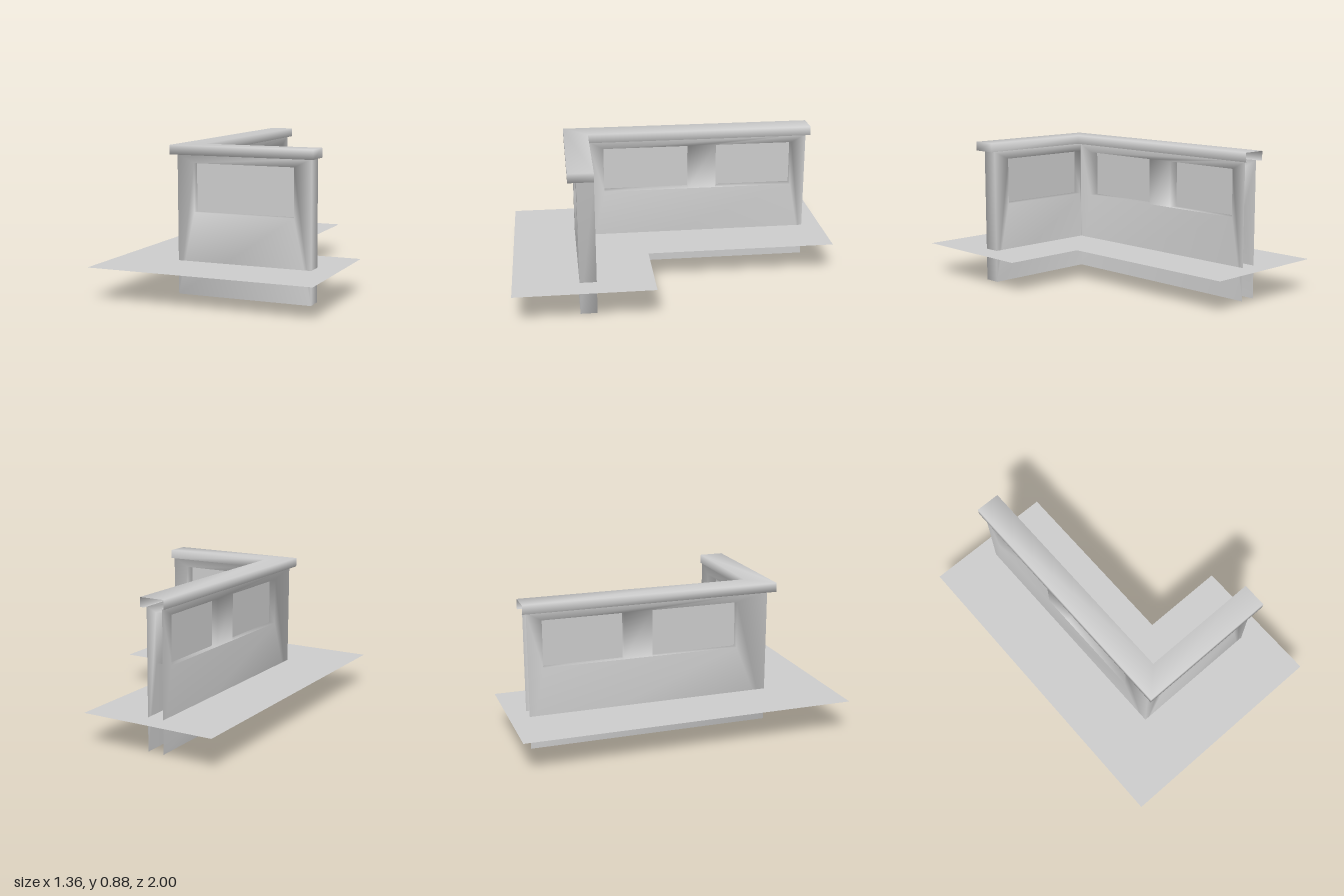
import * as THREE from 'three';
import { mergeGeometries, mergeVertices } from 'three/addons/utils/BufferGeometryUtils.js';

const FLOOR_Y = 0.2, WALL_TOP = 0.825, CAP_TOP = 0.88, THICK = 0.1;
const SILL = 0.49, HEAD = 0.775;

// four-cornered face, corners counterclockwise from its front
function quad(a, b, c, d) {
  const g = new THREE.BufferGeometry();
  g.setAttribute('position', new THREE.Float32BufferAttribute([a, b, c, a, c, d].flat(), 3));
  return g;
}

// upright rectangle with rectangular holes, facing +z
function sheet(u0, u1, holes) {
  const rect = (Type, a, b, lo, hi) => {
    const p = new Type();
    p.moveTo(a, lo); p.lineTo(b, lo); p.lineTo(b, hi); p.lineTo(a, hi); p.closePath();
    return p;
  };
  const s = rect(THREE.Shape, u0, u1, 0, WALL_TOP);
  s.holes = holes.map(([a, b]) => rect(THREE.Path, a, b, SILL, HEAD));
  const g = new THREE.ShapeGeometry(s).toNonIndexed();
  g.deleteAttribute('uv');
  g.deleteAttribute('normal');
  return g;
}

// weld the faces so that the shading runs smoothly over the edges
function weld(parts) {
  const g = mergeVertices(mergeGeometries(parts), 1e-4);
  g.computeVertexNormals();
  return g;
}

// one straight run of hollow wall: outer sheet, inner sheet and window reveals
function wallRun(outer, inner, windows) {
  const parts = [
    sheet(outer[0], outer[1], windows),
    sheet(-inner[1], -inner[0], windows.map(([a, b]) => [-b, -a])).rotateY(Math.PI).translate(0, 0, -THICK),
  ];
  for (const [a, b] of windows) {
    const c = [[a, SILL], [b, SILL], [b, HEAD], [a, HEAD]];
    c.forEach((p, i) => {
      const q = c[(i + 1) % 4];
      parts.push(quad([...p, 0], [...q, 0], [...q, -THICK], [...p, -THICK]));
    });
  }
  return parts;
}

export function createModel() {
  const group = new THREE.Group();
  const grey = new THREE.MeshStandardMaterial({ color: 0xcccccc, side: THREE.DoubleSide });
  grey.name = 'plain grey';
  const add = (name, geometry) => {
    const mesh = new THREE.Mesh(geometry, grey);
    mesh.name = name;
    group.add(mesh);
    return mesh;
  };

  // L-shaped floor, cutting through the walls
  const plan = [[-0.68, 1], [0.675, 1], [0.675, 0.17], [0.15, 0.17], [0.15, -1], [-0.68, -1]];
  const floor = new THREE.Shape(plan.map(([x, z]) => new THREE.Vector2(x, -z)));
  add('floor', new THREE.ShapeGeometry(floor).rotateX(-Math.PI / 2).translate(0, FLOOR_Y, 0));

  // front and side walls, closed at the +x end and open at the back
  const frontWindows = [[-0.195, 0.42]];
  const sideWindows = [[-0.79, -0.3], [-0.125, 0.415]];
  const placeFront = g => g.translate(0, 0, 0.61);
  const placeSide = g => g.rotateY(-Math.PI / 2).translate(-0.3, 0, 0);
  const end = quad([0.525, 0, 0.61], [0.525, 0, 0.51], [0.525, WALL_TOP, 0.51], [0.525, WALL_TOP, 0.61]);
  add('walls', weld([
    ...wallRun([-0.3, 0.525], [-0.2, 0.525], frontWindows).map(placeFront),
    ...wallRun([-0.88, 0.61], [-0.88, 0.51], sideWindows).map(placeSide),
    end,
  ]));

  // window panes set back in the openings
  const pane = ([a, b]) => new THREE.PlaneGeometry(b - a, HEAD - SILL)
    .translate((a + b) / 2, (SILL + HEAD) / 2, -0.04);
  frontWindows.forEach(w => add('frontWindowPane', placeFront(pane(w))));
  sideWindows.forEach(w => add('sideWindowPane', placeSide(pane(w))));

  // coping: hollow channel with lips underneath, open at the back end
  const rim = [[-0.325, -0.905], [-0.325, 0.66], [0.55, 0.66], [0.55, 0.51], [-0.175, 0.51], [-0.175, -0.905]];
  const lip = [[-0.3, -0.905], [-0.3, 0.61], [0.525, 0.61], [0.525, 0.51], [-0.2, 0.51], [-0.2, -0.905]];
  const top = rim.map(([x, z]) => [x, CAP_TOP, z]);
  const low = rim.map(([x, z]) => [x, WALL_TOP, z]);
  const inner = lip.map(([x, z]) => [x, WALL_TOP, z]);
  const coping = [quad(top[0], top[1], top[4], top[5]), quad(top[1], top[2], top[3], top[4])];
  for (let i = 0; i < 5; i++) {
    coping.push(quad(low[i], low[i + 1], top[i + 1], top[i]));
    if (i !== 3) coping.push(quad(low[i], inner[i], inner[i + 1], low[i + 1]));
  }
  add('coping', weld(coping));

  return group;
}
